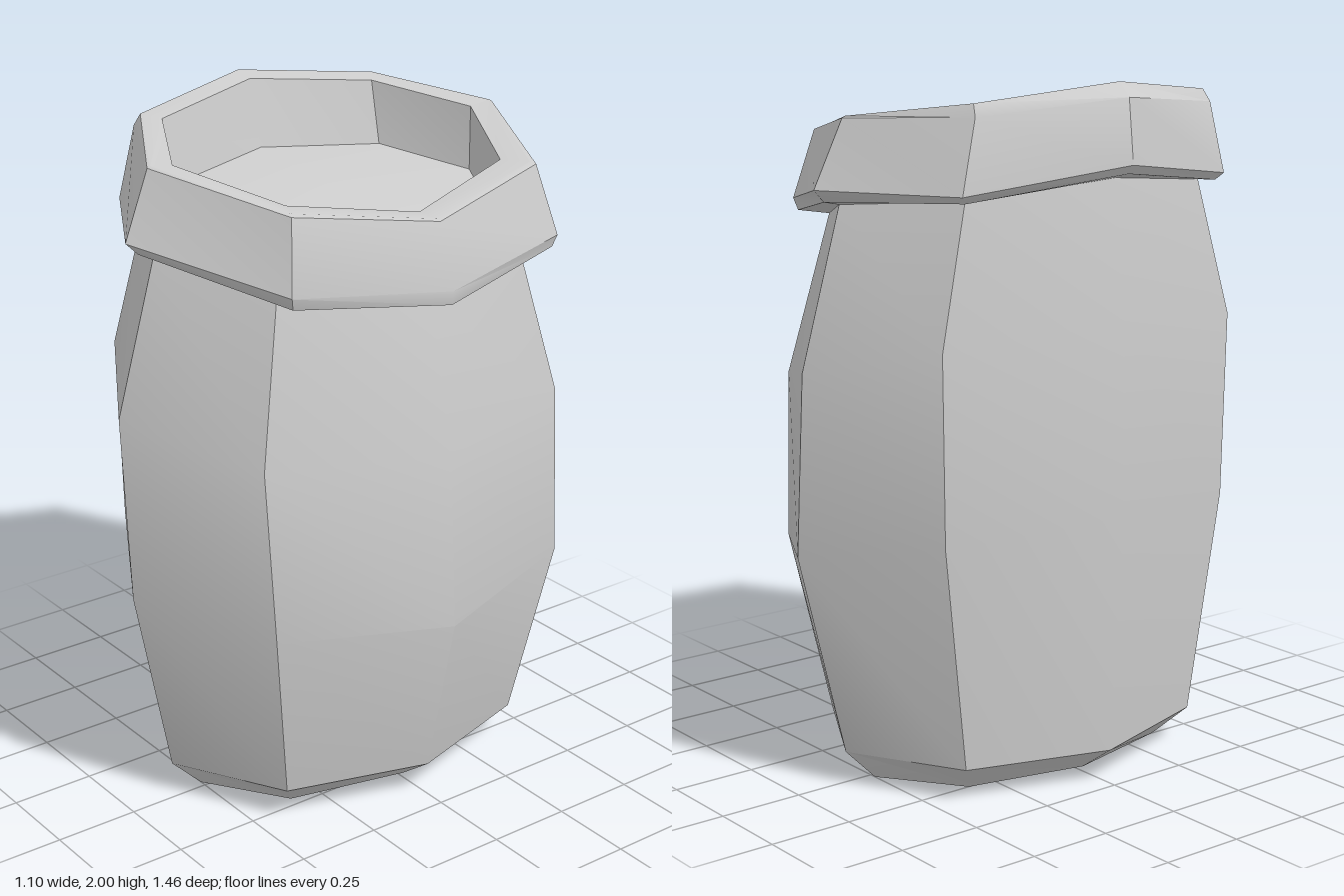
import * as THREE from 'three';
import { toCreasedNormals } from 'three/addons/utils/BufferGeometryUtils.js';

// Eight-sided ring, mirrored front to back. Values run from +x to -x:
// five x, five y, and the z of the three points between the ends.
function ring(x, y, z) {
  const half = x.map((v, i) => [v, y[i], i === 0 || i === 4 ? 0 : z[i - 1]]);
  const back = [3, 2, 1].map(i => [x[i], y[i], -z[i - 1]]);
  return [...half, ...back];
}

// All eight points at one spot, used to close an end
const centre = (x, y) => Array.from({ length: 8 }, () => [x, y, 0]);

// Skin a stack of rings
function loft(name, rings) {
  const pos = [];
  const same = (p, q) => p.every((v, i) => Math.abs(v - q[i]) < 1e-6);
  const tri = (a, b, c) => {
    if (!same(a, b) && !same(b, c) && !same(a, c)) pos.push(...a, ...b, ...c);
  };
  for (let r = 0; r < rings.length - 1; r++) {
    for (let i = 0; i < 8; i++) {
      const j = (i + 1) % 8, lo = rings[r], hi = rings[r + 1];
      tri(lo[i], hi[i], hi[j]);
      tri(lo[i], hi[j], lo[j]);
    }
  }
  const geometry = new THREE.BufferGeometry();
  geometry.setAttribute('position', new THREE.Float32BufferAttribute(pos, 3));
  const material = new THREE.MeshStandardMaterial({ color: 0xcccccc, side: THREE.DoubleSide });
  const mesh = new THREE.Mesh(toCreasedNormals(geometry, 0.6), material);
  mesh.name = name;
  return mesh;
}

export function createModel() {
  const group = new THREE.Group();
  group.name = 'barrel';

  const neck = ring([0.42, 0.285, -0.03, -0.355, -0.475], [1.53, 1.6, 1.67, 1.695, 1.74], [0.42, 0.6, 0.42]);

  // Bulging, slightly leaning body with a chamfered base
  group.add(loft('body', [
    centre(-0.02, 0.01),
    ring([0.32, 0.23, -0.02, -0.27, -0.36], [0.015, 0.01, 0, 0.01, 0.015], [0.35, 0.5, 0.35]),
    ring([0.435, 0.31, -0.02, -0.35, -0.48], [0.1, 0.1, 0.1, 0.1, 0.1], [0.42, 0.6, 0.42]),
    ring([0.545, 0.395, 0.01, -0.38, -0.53], [0.6, 0.64, 0.69, 0.76, 0.8], [0.51, 0.73, 0.51]),
    ring([0.515, 0.36, -0.03, -0.385, -0.515], [1.11, 1.14, 1.22, 1.3, 1.35], [0.52, 0.73, 0.52]),
    neck,
  ]));

  // Tilted collar: underside, flared outer wall, rim, inner wall
  group.add(loft('collar', [
    neck,
    ring([0.505, 0.4, -0.03, -0.395, -0.53], [1.55, 1.6, 1.68, 1.695, 1.755], [0.45, 0.65, 0.45]),
    ring([0.51, 0.41, -0.035, -0.41, -0.55], [1.59, 1.635, 1.715, 1.715, 1.78], [0.46, 0.685, 0.47]),
    ring([0.45, 0.355, -0.05, -0.4, -0.53], [1.77, 1.835, 1.905, 1.92, 1.96], [0.42, 0.6, 0.42]),
    ring([0.44, 0.34, -0.05, -0.38, -0.49], [1.775, 1.84, 1.91, 1.955, 2], [0.41, 0.59, 0.41]),
    ring([0.36, 0.26, -0.05, -0.33, -0.43], [1.775, 1.835, 1.9, 1.945, 1.985], [0.37, 0.52, 0.37]),
    ring([0.36, 0.26, -0.05, -0.29, -0.38], [1.6, 1.63, 1.7, 1.75, 1.78], [0.37, 0.52, 0.37]),
  ]));

  // Slightly domed filling inside the collar
  group.add(loft('filling', [
    ring([0.36, 0.26, -0.05, -0.29, -0.38], [1.62, 1.65, 1.71, 1.76, 1.79], [0.37, 0.52, 0.37]),
    centre(-0.02, 1.75),
  ]));

  return group;
}
